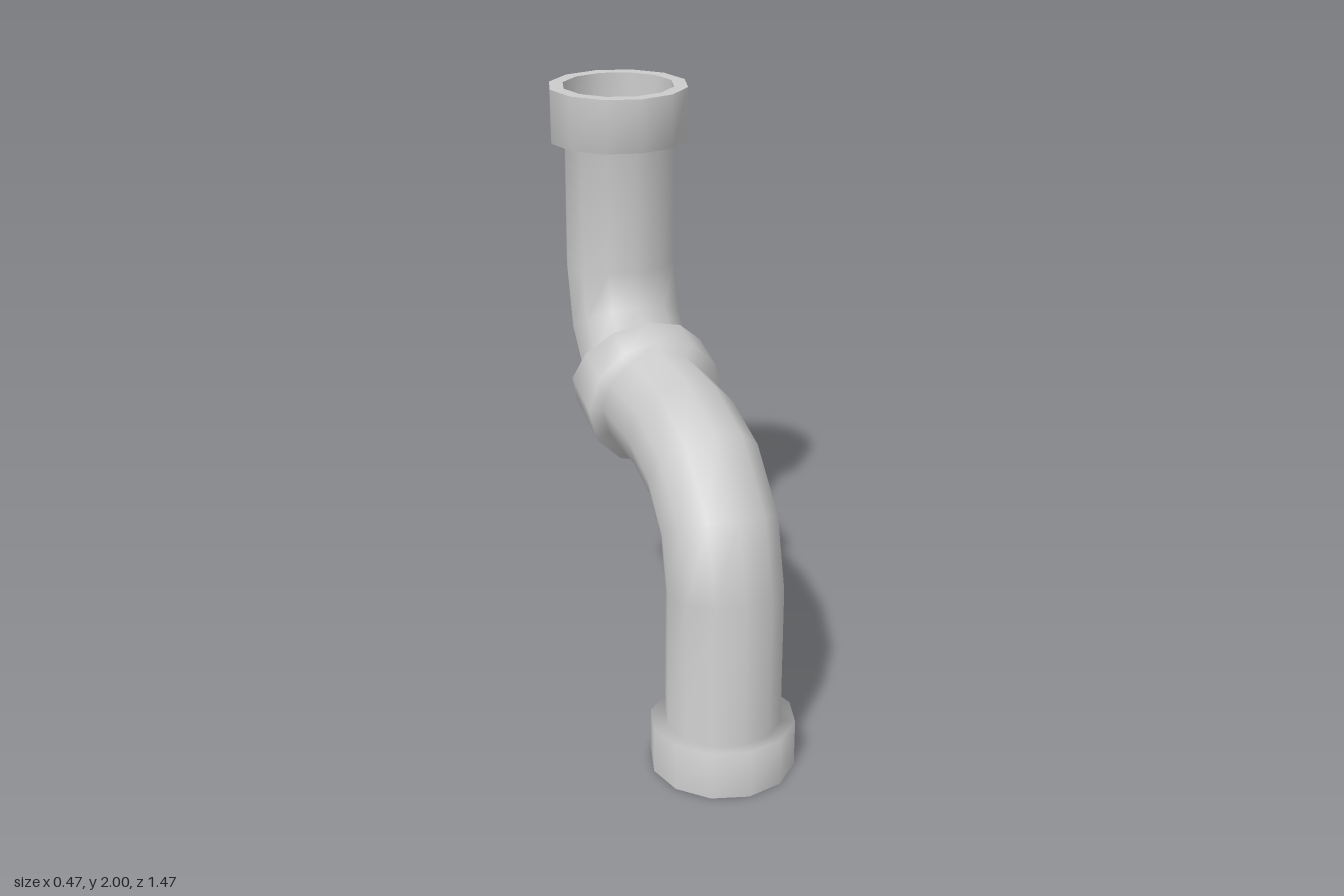
import * as THREE from 'three';

const SIDES = 12;
const PIPE = 0.188;
const COLLAR = 0.235;

// Skin a row of rings [z, y, tilt in degrees, radius] lying across the z-y plane.
function loft(name, rings, material) {
  const positions = [];
  const index = [];
  rings.forEach(([z, y, tilt, r], i) => {
    const a = THREE.MathUtils.degToRad(tilt);
    for (let j = 0; j < SIDES; j++) {
      const t = (j / SIDES) * Math.PI * 2;
      const c = r * Math.cos(t);
      positions.push(r * Math.sin(t), y + c * Math.sin(a), z + c * Math.cos(a));
      if (i === rings.length - 1) continue;
      const p = i * SIDES + j;
      const q = i * SIDES + ((j + 1) % SIDES);
      index.push(p, q, q + SIDES, p, q + SIDES, p + SIDES);
    }
  });
  const geometry = new THREE.BufferGeometry();
  geometry.setAttribute('position', new THREE.Float32BufferAttribute(positions, 3));
  geometry.setIndex(index);
  geometry.computeVertexNormals();
  const mesh = new THREE.Mesh(geometry, material);
  mesh.name = name;
  return mesh;
}

export function createModel() {
  const group = new THREE.Group();
  group.name = 'bentPipe';
  const material = new THREE.MeshStandardMaterial({ color: 0xcccccc, side: THREE.DoubleSide });

  // Stations along the centre line: z, y, tilt
  const bottom = [0.5, 0];
  const bottomStep = [0.5, 0.157, 2];
  const jointFront = [-0.1325, 1.005, 81];
  const jointBack = [-0.3175, 1.055, 62];
  const topStep = [-0.4975, 1.82, 1];
  const top = [-0.5, 2];

  // Continuous outer skin with stepped collars at both ends and the joint
  group.add(loft('pipeAndCollars', [
    [...bottom, 0, COLLAR],
    [...bottomStep, COLLAR],
    [...bottomStep, PIPE],
    [0.5, 0.625, 7.5, PIPE],
    [0.45, 0.815, 30.7, PIPE],
    [0.3125, 0.95, 60, PIPE],
    [0.1325, 1.0025, 83, PIPE],
    [...jointFront, PIPE],
    [...jointFront, COLLAR],
    [...jointBack, COLLAR],
    [...jointBack, PIPE],
    [-0.4525, 1.195, 29, PIPE],
    [-0.5025, 1.3825, 6, PIPE],
    [...topStep, PIPE],
    [...topStep, COLLAR],
    [...top, 0, COLLAR],
  ], material));

  // Flat rims and the sleeves inside the end collars
  group.add(loft('bottomRim', [[...bottom, 0, PIPE], [...bottom, 0, COLLAR]], material));
  group.add(loft('bottomSleeve', [[...bottomStep, PIPE], [...bottom, 0, PIPE]], material));
  group.add(loft('topRim', [[...top, 0, COLLAR], [...top, 0, PIPE]], material));
  group.add(loft('topSleeve', [[...top, 0, PIPE], [...topStep, PIPE]], material));

  return group;
}
